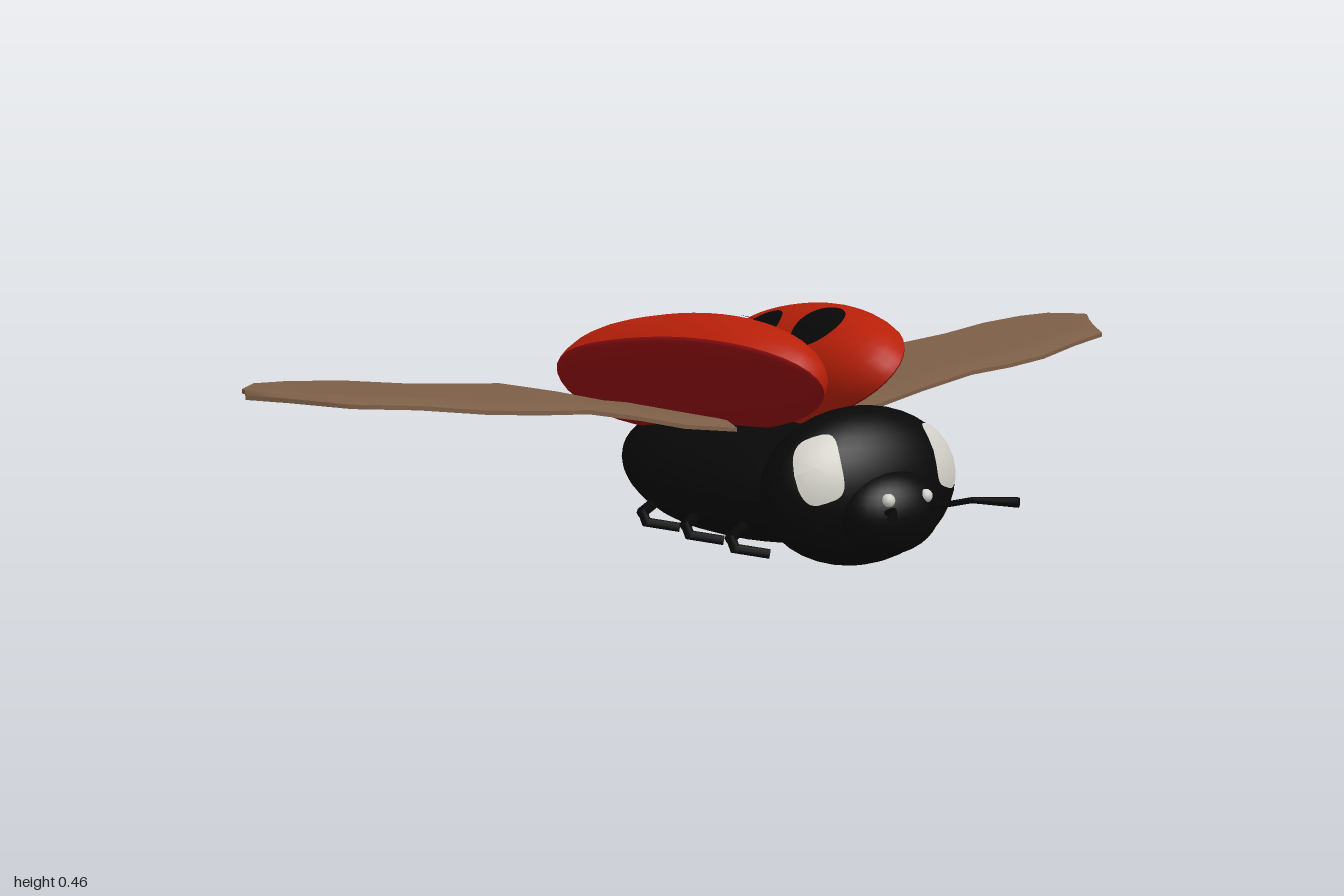
import * as THREE from 'three';

const V = (x, y, z) => new THREE.Vector3(x, y, z);
const mat = (name, color) => {
  const m = new THREE.MeshStandardMaterial({ color });
  m.name = name;
  return m;
};

// Mirror a geometry across x and restore the winding of its faces
function mirrored(geo) {
  const g = geo.clone().scale(-1, 1, 1);
  const idx = g.index.array;
  for (let i = 0; i < idx.length; i += 3) [idx[i], idx[i + 1]] = [idx[i + 1], idx[i]];
  return g;
}

// Curved plate hugging a unit sphere around a direction
function patch(dir, ref, r1, r2, square = 1) {
  const d = dir.clone().normalize();
  const e1 = ref.clone().cross(d).normalize();
  const e2 = d.clone().cross(e1);
  const g = new THREE.RingGeometry(0, 1, 32, 5);
  const p = g.attributes.position;
  for (let i = 0; i < p.count; i++) {
    const r = Math.hypot(p.getX(i), p.getY(i));
    const a = Math.atan2(p.getY(i), p.getX(i));
    const c = Math.cos(a), s = Math.sin(a);
    const u = r * Math.sign(c) * Math.abs(c) ** square * r1;
    const v = r * Math.sign(s) * Math.abs(s) ** square * r2;
    const q = d.clone().addScaledVector(e1, u).addScaledVector(e2, v).setLength(1.02);
    p.setXYZ(i, q.x, q.y, q.z);
  }
  g.computeVertexNormals();
  return g;
}

// Tapered rod between two points
function rod(a, b, r1, r2 = r1) {
  const d = b.clone().sub(a);
  const g = new THREE.CylinderGeometry(r2, r1, d.length() + r1, 8);
  g.applyQuaternion(new THREE.Quaternion().setFromUnitVectors(V(0, 1, 0), d.normalize()));
  const m = a.clone().add(b).multiplyScalar(0.5);
  return g.translate(m.x, m.y, m.z);
}

// Piecewise linear lookup in rows of [x, ...values]
function lookup(rows, x, k) {
  let i = 0;
  while (i < rows.length - 2 && x > rows[i + 1][0]) i++;
  const t = (x - rows[i][0]) / (rows[i + 1][0] - rows[i][0]);
  return THREE.MathUtils.lerp(rows[i][k], rows[i + 1][k], t);
}

// Flight wing: a thin slab bent and trimmed along its span
function wingGeometry() {
  // x, front z, rear z, height
  const rows = [
    [0.10, -0.05, -0.32, 0.245], [0.23, -0.035, -0.33, 0.265], [0.33, -0.025, -0.34, 0.29],
    [0.45, -0.015, -0.35, 0.315], [0.55, -0.015, -0.355, 0.322], [0.65, -0.03, -0.362, 0.33],
    [0.77, -0.07, -0.375, 0.344], [0.88, -0.11, -0.383, 0.351], [0.95, -0.22, -0.372, 0.354],
    [1.0, -0.295, -0.31, 0.355],
  ];
  const n = 18;
  const xs = [...rows.map(r => r[0]), 0.16, 0.28, 0.39, 0.5, 0.6, 0.71, 0.82, 0.91, 0.975].sort((a, b) => a - b);
  const g = new THREE.BoxGeometry(1, 1, 1, n, 1, 8);
  const p = g.attributes.position;
  for (let i = 0; i < p.count; i++) {
    const x = xs[Math.round((p.getX(i) + 0.5) * n)];
    const t = p.getZ(i) + 0.5;
    const z = THREE.MathUtils.lerp(lookup(rows, x, 2), lookup(rows, x, 1), t);
    const droop = t > 0.9 ? 0.01 : 0;
    p.setXYZ(i, x, lookup(rows, x, 3) - droop + p.getY(i) * 0.008, z);
  }
  g.computeVertexNormals();
  return g;
}

export function createModel() {
  const model = new THREE.Group();
  const black = mat('shellBlack', 0x080808);
  const red = mat('wingCaseRed', 0xb82009);
  const darkRed = mat('wingCaseLining', 0x9a1012);
  const brown = mat('wingBrown', 0x7d5f47);
  const white = mat('markingWhite', 0xd2d0c8);

  const add = (name, geo, material) => {
    const m = new THREE.Mesh(geo, material);
    m.name = name;
    model.add(m);
  };
  const addPair = (name, geo, material) => {
    add(name + 'Left', geo, material);
    add(name + 'Right', mirrored(geo), material);
  };

  // Abdomen: egg with a longer front half and a slightly raised tail
  const abdomen = new THREE.SphereGeometry(1, 32, 24).rotateX(Math.PI / 2);
  const ap = abdomen.attributes.position;
  for (let i = 0; i < ap.count; i++) {
    const z = ap.getZ(i);
    const lift = z < 0 ? 0.025 * z * z : 0;
    ap.setXYZ(i, ap.getX(i) * 0.2, 0.125 + ap.getY(i) * 0.121 + lift, -0.17 + z * (z > 0 ? 0.45 : 0.335));
  }
  abdomen.computeVertexNormals();
  add('abdomen', abdomen, black);

  // Thorax with its pale side markings
  const thoraxM = new THREE.Matrix4().makeScale(0.21, 0.15, 0.118).setPosition(0, 0.155, 0.208);
  add('thorax', new THREE.SphereGeometry(1, 32, 20).applyMatrix4(thoraxM), black);
  const marking = patch(V(0.74, 0.4, 0.64), V(0.15, 1, -0.35), 0.26, 0.48, 0.55);
  addPair('thoraxMarking', marking.applyMatrix4(thoraxM), white);

  // Head, eyes and antennae
  add('head', new THREE.SphereGeometry(1, 28, 18).scale(0.108, 0.08, 0.072).translate(0, 0.12, 0.302), black);
  addPair('eye', new THREE.SphereGeometry(0.013, 12, 8).translate(0.043, 0.153, 0.357), white);
  const antenna = [V(0.045, 0.13, 0.355), V(0.09, 0.152, 0.435), V(0.142, 0.152, 0.5)];
  addPair('antennaBase', rod(antenna[0], antenna[1], 0.006), black);
  addPair('antennaTip', rod(antenna[1], antenna[2], 0.006, 0.01), black);

  // Six folded legs
  ['front', 'middle', 'hind'].forEach((name, i) => {
    const z = 0.1 - i * 0.155;
    const pts = [V(0.12, 0.07, z - 0.08), V(0.215, 0.062, z), V(0.21, 0.042, z + 0.005), V(0.16, 0.032, z + 0.04)];
    ['Thigh', 'Shin', 'Foot'].forEach((part, k) =>
      addPair(name + part, rod(pts[k], pts[k + 1], 0.011 - k * 0.001), black));
  });

  // Opened wing cases: domes facing up and inward, lining facing outward
  const along = V(-0.12, 0.09, 0.7).normalize();
  const dome = V(-0.7, 0.7, 0);
  dome.addScaledVector(along, -dome.dot(along)).normalize();
  const across = dome.clone().cross(along);
  const caseM = new THREE.Matrix4().makeBasis(across, dome, along).setPosition(0.148, 0.315, -0.152);
  // Shape a unit form into a case that is broader towards the rear
  const shapeCase = (g, depth) => {
    const p = g.attributes.position;
    for (let i = 0; i < p.count; i++) {
      const z = p.getZ(i);
      const f = z < 0 ? 1 + 0.25 * z * z : 1;
      p.setXYZ(i, p.getX(i) * 0.142 * f, p.getY(i) * depth * f, z * 0.36);
    }
    g.applyMatrix4(caseM);
    g.computeVertexNormals();
    return g;
  };
  const half = start => new THREE.SphereGeometry(1, 40, 12, 0, Math.PI * 2, start, Math.PI / 2);
  addPair('wingCase', shapeCase(half(0), 0.135), red);
  addPair('wingCaseLining', shapeCase(half(Math.PI / 2), 0.025), darkRed);
  [
    [V(0.17, 0.86, 0.5), 0.45, 0.19],
    [V(-0.12, 0.97, -0.08), 0.53, 0.245],
    [V(-0.1, 0.72, -0.62), 0.5, 0.25],
  ].forEach(([dir, r1, r2], i) =>
    addPair('spot' + (i + 1), shapeCase(patch(dir, V(0, 0, 1), r1, r2), 0.135), black));

  // Flight wings
  addPair('flightWing', wingGeometry(), brown);

  return model;
}
